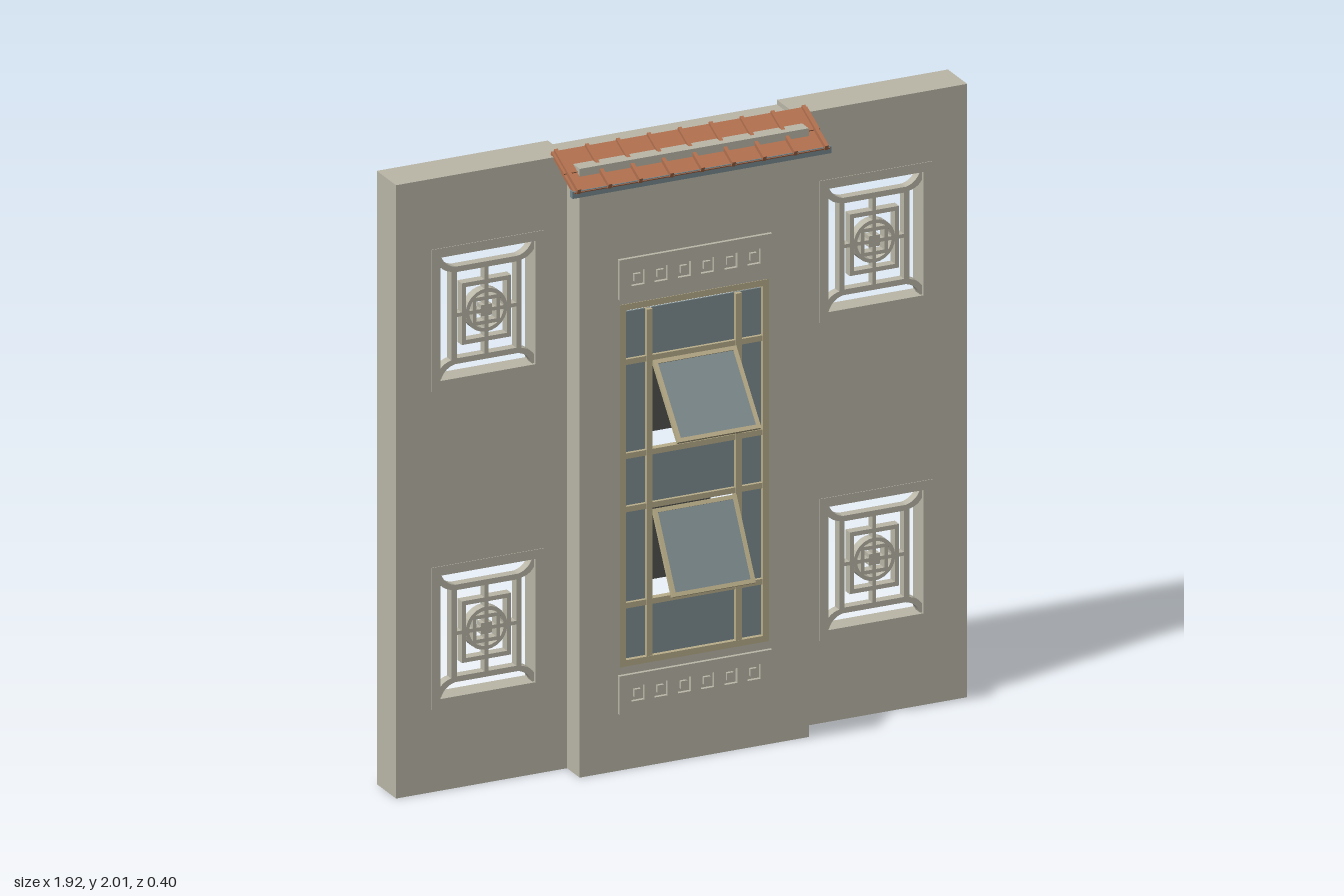
import * as THREE from 'three';

const mat = (name, color, side = THREE.FrontSide) => {
  const m = new THREE.MeshStandardMaterial({ color, side });
  m.name = name;
  return m;
};

export function createModel() {
  const model = new THREE.Group();
  model.name = 'wallSection';
  const plaster = mat('plaster', 0xbab7a8);
  const tan = mat('tanFrame', 0xb9ae8a);
  const glass = mat('glass', 0x7f8d90);
  const dark = mat('darkScreen', 0x51534f);
  const tile = mat('terracotta', 0xb3714f);
  const slate = mat('slateFascia', 0x74878c);

  const add = (parent, name, geometry, material) => {
    const m = new THREE.Mesh(geometry, material);
    m.name = name;
    parent.add(m);
    return m;
  };
  // Box given by its two extents on each axis
  const box = (parent, name, material, x0, x1, y0, y1, z0, z1) => {
    const m = add(parent, name, new THREE.BoxGeometry(x1 - x0, y1 - y0, z1 - z0), material);
    m.position.set((x0 + x1) / 2, (y0 + y1) / 2, (z0 + z1) / 2);
    return m;
  };
  const rect = (Type, x0, x1, y0, y1) => new Type([
    new THREE.Vector2(x0, y0), new THREE.Vector2(x1, y0),
    new THREE.Vector2(x1, y1), new THREE.Vector2(x0, y1)]);
  const extrude = (parent, name, material, shape, z0, z1) => {
    const g = new THREE.ExtrudeGeometry(shape, { depth: z1 - z0, bevelEnabled: false, curveSegments: 12 });
    g.translate(0, 0, z0);
    return add(parent, name, g, material);
  };
  // Rectangular ring with outer half sizes and bar width
  const ring = (parent, name, material, hw, hh, bar, z0, z1) => {
    const s = rect(THREE.Shape, -hw, hw, -hh, hh);
    s.holes.push(rect(THREE.Path, -hw + bar, hw - bar, -hh + bar, hh - bar));
    return extrude(parent, name, material, s, z0, z1);
  };

  // Lattice window, centred on its own origin
  const LX = 0.652, LY = [0.498, 1.53], LW = 0.19, LH = 0.23;
  const lattice = (x, y) => {
    const g = new THREE.Group();
    g.name = 'latticeWindow';
    g.position.set(x, y, 0);
    model.add(g);
    const z0 = -0.105, z1 = -0.075;
    ring(g, 'latticeFrame', plaster, LW, LH, 0.03, -0.12, -0.065);
    ring(g, 'latticeOuterRectangle', plaster, 0.118, 0.158, 0.018, z0, z1);
    ring(g, 'latticeMiddleRectangle', plaster, 0.083, 0.1, 0.014, z0, z1);
    ring(g, 'latticeInnerSquare', plaster, 0.045, 0.045, 0.012, z0, z1);
    const circle = new THREE.Shape().absarc(0, 0, 0.07, 0, Math.PI * 2);
    circle.holes.push(new THREE.Path().absarc(0, 0, 0.058, 0, Math.PI * 2, true));
    extrude(g, 'latticeCircle', plaster, circle, z0, z1);
    box(g, 'latticeCentre', plaster, -0.018, 0.018, -0.018, 0.018, z0, z1);
    for (const s of [-1, 1]) {
      box(g, 'latticeSpoke', plaster, -0.006, 0.006, s > 0 ? 0.015 : -0.145, s > 0 ? 0.145 : -0.015, z0, z1);
      box(g, 'latticeSpoke', plaster, s > 0 ? 0.015 : -0.105, s > 0 ? 0.105 : -0.015, -0.006, 0.006, z0, z1);
      // Curved corner braces
      for (const t of [-1, 1]) {
        const b = new THREE.Shape();
        b.moveTo(s * 0.105, t * 0.158);
        b.quadraticCurveTo(s * 0.142, t * 0.165, s * 0.155, t * 0.205);
        b.lineTo(s * 0.17, t * 0.193);
        b.quadraticCurveTo(s * 0.155, t * 0.148, s * 0.113, t * 0.143);
        b.closePath();
        extrude(g, 'latticeBrace', plaster, b, z0, z1);
      }
    }
  };

  // Side walls with two openings each
  for (const s of [-1, 1]) {
    const shape = rect(THREE.Shape, s * 0.385, s * 0.96, 0, 1.99);
    for (const y of LY) {
      shape.holes.push(rect(THREE.Path, s * LX - LW, s * LX + LW, y - LH, y + LH));
      lattice(s * LX, y);
    }
    extrude(model, 'sideWall', plaster, shape, -0.2, -0.067);
  }

  // Projecting centre bay with a tall opening
  const bay = rect(THREE.Shape, -0.385, 0.385, 0, 1.975);
  bay.holes.push(rect(THREE.Path, -0.25, 0.25, 0.335, 1.51));
  extrude(model, 'centreBay', plaster, bay, -0.2, 0.02);

  // Ornament panels with six recessed squares
  for (const [y0, y1, cy] of [[0.185, 0.31, 0.246], [1.53, 1.66, 1.594]]) {
    const p = rect(THREE.Shape, -0.257, 0.257, y0, y1);
    for (let i = 0; i < 6; i++) {
      const x = (i - 2.5) * 0.078;
      p.holes.push(rect(THREE.Path, x - 0.022, x + 0.022, cy - 0.024, cy + 0.024));
      box(model, 'panelStud', plaster, x - 0.011, x + 0.011, cy - 0.012, cy + 0.012, 0.018, 0.03);
    }
    extrude(model, 'ornamentPanel', plaster, p, 0.02, 0.032);
  }

  // Window frame, mullions and transoms
  const win = new THREE.Group();
  win.name = 'tallWindow';
  model.add(win);
  ring(win, 'windowFrame', tan, 0.25, 0.5875, 0.02, -0.005, 0.022).position.y = 0.9225;
  for (const x of [-0.15, 0.15]) {
    box(win, 'mullion', tan, x - 0.01, x + 0.01, 0.35, 1.48, -0.005, 0.021);
  }
  for (const y of [0.53, 0.842, 1.015, 1.32]) {
    box(win, 'transom', tan, -0.235, 0.235, y - 0.009, y + 0.009, -0.004, 0.018);
  }
  // Fixed glass at the sides and in three centre bays
  for (const s of [-1, 1]) {
    box(win, 'sideGlass', glass, s > 0 ? 0.15 : -0.235, s > 0 ? 0.235 : -0.15, 0.35, 1.48, 0.001, 0.007);
  }
  for (const [y0, y1] of [[0.35, 0.53], [0.842, 1.015], [1.32, 1.48]]) {
    box(win, 'centreGlass', glass, -0.15, 0.15, y0, y1, 0.001, 0.007);
  }

  // Open sashes hinged at the top, with dark screens behind
  for (const [y, angle, len] of [[1.305, 0.70, 0.27], [0.825, 0.51, 0.275]]) {
    const sash = new THREE.Group();
    sash.name = 'openSash';
    sash.position.set(0, y, 0.012);
    sash.rotation.x = -angle;
    win.add(sash);
    ring(sash, 'sashFrame', tan, 0.14, len / 2, 0.013, 0, 0.014).position.y = -len / 2;
    box(sash, 'sashGlass', glass, -0.13, 0.13, -len + 0.01, -0.01, 0.004, 0.01);
    box(win, 'darkScreen', dark, -0.142, 0.142, y - 0.3, y + 0.015, -0.165, -0.158);
  }

  // Sloping tiled canopy
  const roof = new THREE.Group();
  roof.name = 'canopy';
  roof.position.set(0, 1.957, -0.008);
  roof.rotation.x = 0.43;
  model.add(roof);
  box(roof, 'upperTiles', tile, -0.43, 0.43, -0.002, 0.009, -0.088, 0.01);
  box(roof, 'lowerTiles', tile, -0.43, 0.43, -0.006, 0.005, -0.01, 0.09);
  for (let i = -4; i <= 4; i++) {
    const x = i * 0.104;
    box(roof, 'tileRib', tile, x - 0.006, x + 0.006, 0, 0.018, -0.088, 0.092);
  }
  box(model, 'canopyFascia', slate, -0.435, 0.435, 1.905, 1.927, 0.056, 0.074);
  return model;
}
